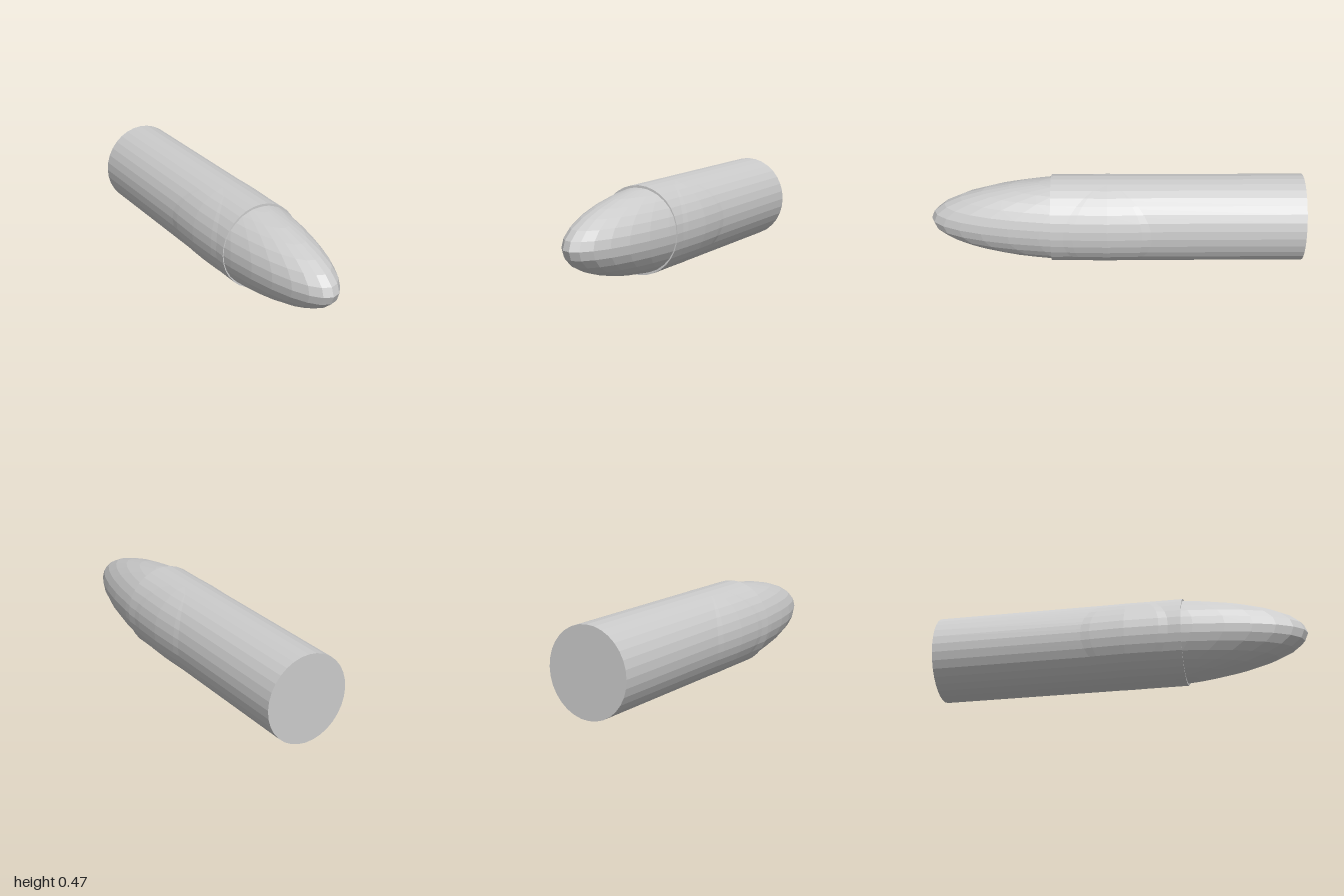
import * as THREE from 'three';

const RADIUS = 0.2357;

export function createModel() {
  const group = new THREE.Group();
  const material = new THREE.MeshStandardMaterial({ color: 0xcccccc, flatShading: true });

  const addPart = (name, geometry, z) => {
    const mesh = new THREE.Mesh(geometry, material);
    mesh.name = name;
    mesh.position.set(0, RADIUS, z);
    group.add(mesh);
  };

  // Straight capped casing, slightly narrower across than it is tall
  const casing = new THREE.CylinderGeometry(RADIUS, RADIUS, 1.35, 32);
  casing.rotateX(Math.PI / 2).scale(0.2275 / RADIUS, 1, 1);
  addPart('casing', casing, -0.325);

  // Stretched sphere set into the casing, its flanks bulging slightly through the sides
  const tip = new THREE.SphereGeometry(1, 32, 16);
  tip.scale(RADIUS, RADIUS - 0.0005, 0.95);
  addPart('tip', tip, 0.05);

  return group;
}
